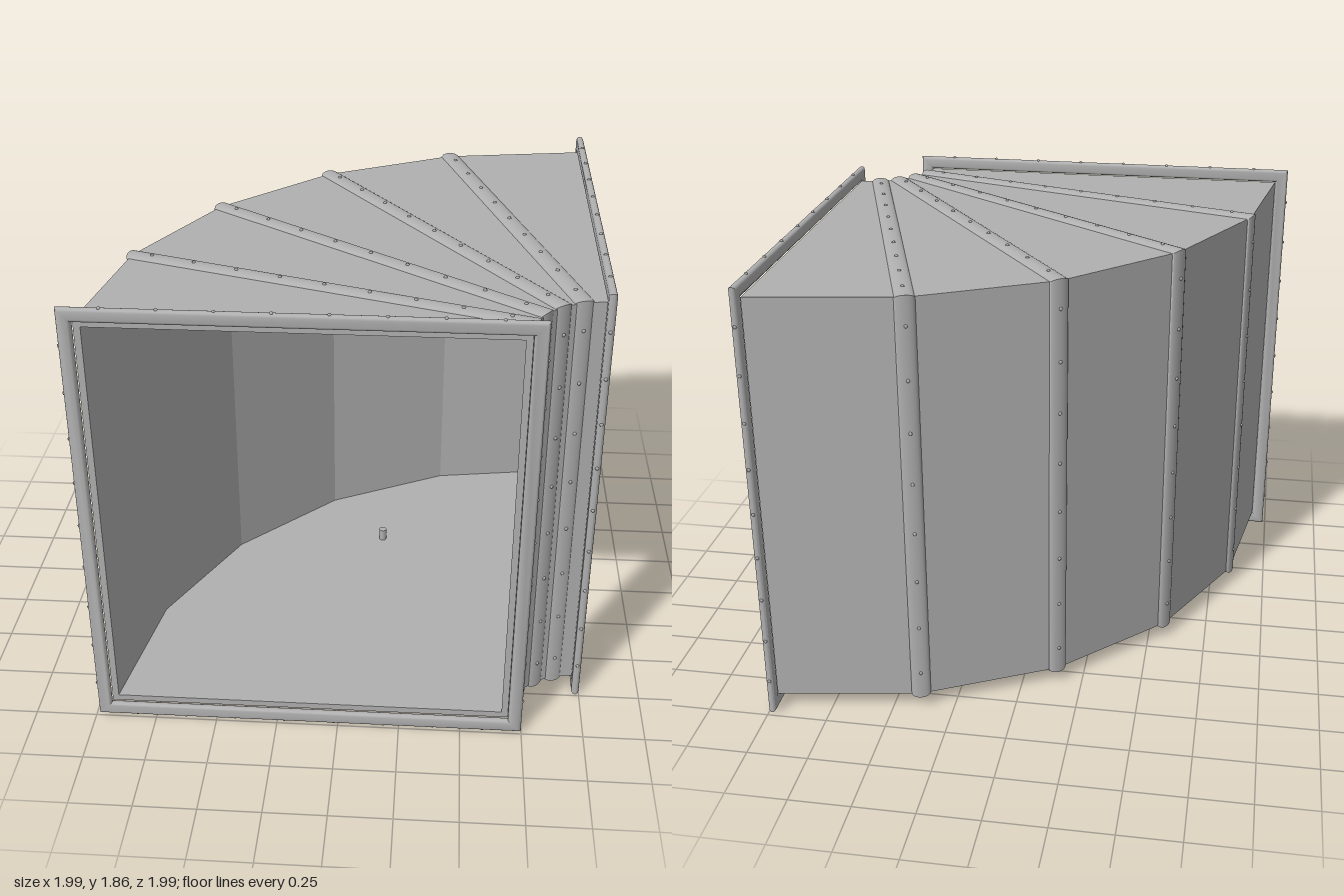
import * as THREE from 'three';
import { mergeGeometries, toCreasedNormals } from 'three/addons/utils/BufferGeometryUtils.js';

const CENTER = 0.973;              // bend axis in x and z
const R_IN = 0.28, R_OUT = 1.905;  // duct skin radii
const Y_LOW = 0.068, Y_HIGH = 1.808;
const WALL = 0.026;
const SEGMENTS = 5;
const STEP = Math.PI / 2 / SEGMENTS;

// Point at bend angle a, radius r, height y, shifted u along the bend
function place(a, r, y, u = 0) {
  return new THREE.Vector3(
    CENTER - r * Math.cos(a) + u * Math.sin(a), y,
    CENTER - r * Math.sin(a) - u * Math.cos(a));
}

// Rectangular duct outline, grown outward by "out"
function outline(a, out, u = 0) {
  return [[R_OUT + out, Y_LOW - out], [R_OUT + out, Y_HIGH + out],
    [R_IN - out, Y_HIGH + out], [R_IN - out, Y_LOW - out]].map(([r, y]) => place(a, r, y, u));
}

// Skin a closed chain of four-cornered outlines
function loft(rings, crease) {
  const pos = [];
  rings.forEach((ring, i) => {
    const next = rings[(i + 1) % rings.length];
    for (let j = 0; j < 4; j++) {
      const k = (j + 1) % 4;
      for (const p of [ring[j], ring[k], next[k], ring[j], next[k], next[j]]) pos.push(p.x, p.y, p.z);
    }
  });
  const geo = new THREE.BufferGeometry();
  geo.setAttribute('position', new THREE.Float32BufferAttribute(pos, 3));
  geo.computeVertexNormals();
  return toCreasedNormals(geo, crease);
}

// Small rivet heads spaced around an outline
function rivets(a, out, u, alongR, alongY) {
  const list = [];
  const add = (r, y) => {
    const p = place(a, r, y, u);
    list.push(new THREE.SphereGeometry(0.008, 6, 4).translate(p.x, p.y, p.z));
  };
  for (let i = 0; i < alongR; i++) {
    const r = THREE.MathUtils.lerp(R_IN, R_OUT, (i + 0.5) / alongR);
    add(r, Y_LOW - out);
    add(r, Y_HIGH + out);
  }
  for (let i = 0; i < alongY; i++) {
    const y = THREE.MathUtils.lerp(Y_LOW, Y_HIGH, (i + 0.5) / alongY);
    add(R_IN - out, y);
    add(R_OUT + out, y);
  }
  return mergeGeometries(list);
}

export function createModel() {
  const group = new THREE.Group();
  const metal = new THREE.MeshStandardMaterial({ color: 0xb0b0b0 });
  metal.name = 'galvanised grey';
  const add = (geo, name) => {
    const mesh = new THREE.Mesh(geo, metal);
    mesh.name = name;
    group.add(mesh);
  };

  // Faceted duct walls: outer skin forward, inner skin back
  const angles = Array.from({ length: SEGMENTS + 1 }, (_, i) => i * STEP);
  const outer = angles.map(a => outline(a, 0));
  const inner = angles.map(a => outline(a, -WALL)).reverse();
  add(loft([...outer, ...inner], 0.15), 'ductWalls');

  // Low rounded bands over the joints
  for (let i = 1; i < SEGMENTS; i++) {
    const rings = [];
    for (let k = 0; k <= 8; k++) {
      const t = Math.PI * k / 8;
      rings.push(outline(angles[i], -0.004 + 0.016 * Math.sin(t), -0.04 * Math.cos(t)));
    }
    add(loft(rings, 0.7), 'jointBand' + i);
    add(rivets(angles[i], 0.011, 0, 9, 8), 'jointRivets' + i);
  }

  // Rounded flanges at both openings
  const half = 0.016, reach = 0.056;
  [[0, -0.011], [Math.PI / 2, 0.011]].forEach(([a, mid], n) => {
    const rings = [];
    for (let k = 0; k < 16; k++) {
      const t = Math.PI * 2 * (k + 0.5) / 16;
      const shift = Math.sin(t) > 0 ? reach - half : half;
      rings.push(outline(a, shift + half * Math.sin(t), mid - half * Math.cos(t)));
    }
    const side = n ? 'side' : 'front';
    add(loft(rings, 0.7), side + 'Flange');
    add(rivets(a, reach - 0.002, mid, 8, 9), side + 'FlangeRivets');
  });

  // Small peg standing on the duct floor
  const peg = new THREE.CylinderGeometry(0.017, 0.017, 0.055, 10);
  add(peg.translate(0.125, 0.12, -0.23), 'floorPeg');

  return group;
}
